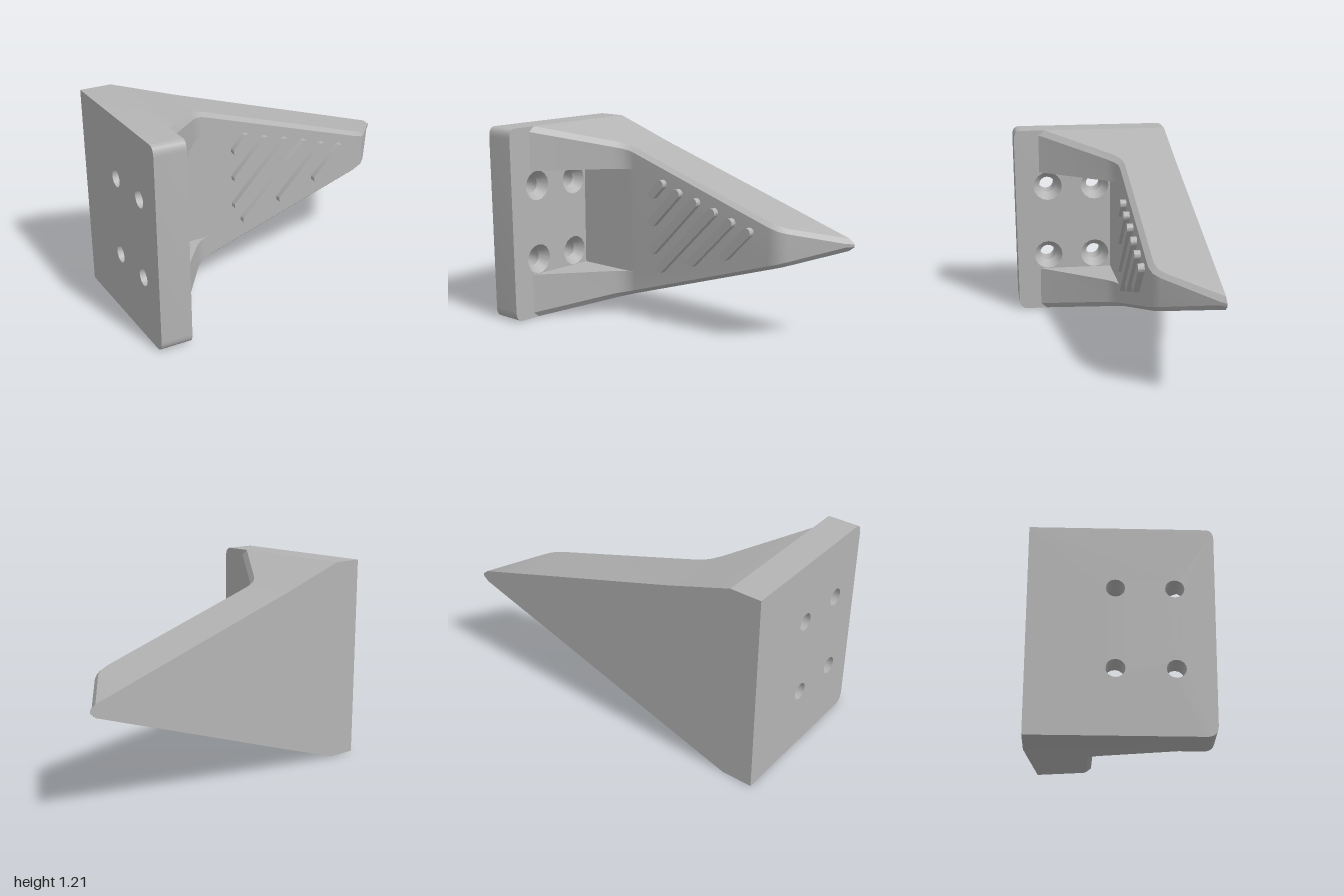
import * as THREE from 'three';
import { toCreasedNormals } from 'three/addons/utils/BufferGeometryUtils.js';

const BACK = -0.49, FACE = -0.135, WALL = -0.815;   // back plane, front face, inner side of the mounting plate
const PLATE_TOP = 1.215;

// Skin closed rings of [x, y, z] points, running counter-clockwise seen from +x
function loft(rings) {
  const pos = rings.flat(2), idx = [], n = rings[0].length;
  for (let r = 0; r < rings.length - 1; r++) {
    for (let i = 0; i < n; i++) {
      const j = (i + 1) % n, a = r * n + i, b = r * n + j;
      idx.push(a, b, b + n, a, b + n, a + n);
    }
  }
  const g = new THREE.BufferGeometry();
  g.setAttribute('position', new THREE.Float32BufferAttribute(pos, 3));
  g.setIndex(idx);
  return toCreasedNormals(g, 0.5);
}

// Flat face across x, from a shape drawn in (y, z)
function faceAcrossX(shape, x, flip) {
  const g = new THREE.ShapeGeometry(shape, 12);
  const p = g.attributes.position;
  for (let i = 0; i < p.count; i++) p.setXYZ(i, x, p.getX(i), p.getY(i));
  if (flip) g.setIndex(Array.from(g.index.array).reverse());
  return toCreasedNormals(g, 0.5);
}

const circle = (x, y, z, r, n = 16) => Array.from({ length: n }, (_, i) => {
  const a = (i / n) * Math.PI * 2;
  return [x, y + r * Math.cos(a), z + r * Math.sin(a)];
});

export function createModel() {
  const group = new THREE.Group();
  const grey = new THREE.MeshStandardMaterial({ color: 0xb4b4b4 });
  grey.name = 'plain grey';
  const add = (name, geometry) => {
    const mesh = new THREE.Mesh(geometry, grey);
    mesh.name = name;
    group.add(mesh);
  };

  // Wedge body: [x, bottom, top, front z, chamfer]
  const stations = [
    [WALL, 0.004, 1.215, 0.335, 0.04],
    [-0.5, 0.103, 1.108, -0.07, 0.038],
    [-0.46, 0.116, 1.094, -0.108, 0.034],
    [-0.42, 0.128, 1.081, -0.129, 0.03],
    [-0.38, 0.141, 1.068, FACE, 0.03],
    [0.65, 0.47, 0.743, FACE, 0.03],
    [0.71, 0.488, 0.724, -0.15, 0.03],
    [0.75, 0.501, 0.711, -0.185, 0.03],
    [0.965, 0.57, 0.643, -0.455, 0.033],
    [1.0, 0.598, 0.614, BACK, 0],
  ];
  add('wedgeBody', loft(stations.map(([x, bottom, top, front, c]) => {
    const low = Math.max(0.283, bottom + c * 0.8), high = Math.min(0.94, top - c * 0.8);
    const floor = Math.min(front, FACE);
    return [
      [bottom, BACK], [top, BACK], [top, front - c], [top - c * 0.8, front],
      [high, front], [high, floor], [low, floor], [low, front],       // recess between the gussets
      [bottom + c * 0.8, front], [bottom, front - c],
    ].map(([y, z]) => [x, y, z]);
  })));

  // Countersunk screw holes through the mounting plate
  const holes = [0.845, 0.377].flatMap(y => [0.28, -0.03].map(z => [y, z]));
  holes.forEach(([y, z]) => add('screwHole', loft([
    circle(WALL, y, z, 0.093), circle(-0.875, y, z, 0.051), circle(-1, y, z, 0.051),
  ])));
  const pierce = (shape, r) => {
    holes.forEach(([y, z]) => shape.holes.push(
      new THREE.Path(circle(0, y, z, r).map(p => new THREE.Vector2(p[1], p[2])))));
    return shape;
  };

  // Mounting plate: rounded front corners, slightly leaning front edge
  const roundedFront = s => {
    s.lineTo(PLATE_TOP, 0.45);
    s.quadraticCurveTo(PLATE_TOP, 0.494, PLATE_TOP - 0.06, 0.494);
    s.lineTo(0.07, 0.48);
    s.quadraticCurveTo(0.004, 0.48, 0.004, 0.42);
    return s;
  };
  const outline = new THREE.Shape();
  outline.moveTo(0.004, BACK);
  outline.lineTo(PLATE_TOP, BACK);
  roundedFront(outline);
  const rim = outline.getPoints(8);
  add('plateEdge', loft([-1, WALL].map(x => rim.map(p => [x, p.x, p.y]))));
  add('plateOuterFace', faceAcrossX(pierce(outline, 0.051), -1, true));

  // Inner plate face, cut around the gussets
  const inner = new THREE.Shape();
  inner.moveTo(0.004, 0.29);
  inner.lineTo(0.036, 0.335);
  inner.lineTo(0.283, 0.335);
  inner.lineTo(0.283, FACE);
  inner.lineTo(0.94, FACE);
  inner.lineTo(0.94, 0.335);
  inner.lineTo(1.183, 0.335);
  inner.lineTo(PLATE_TOP, 0.295);
  roundedFront(inner);
  add('plateInnerFace', faceAcrossX(pierce(inner, 0.093), WALL, false));

  // Slanted grip ribs with rounded ends: [x0, y0, x1, y1]
  const ribs = [
    [-0.205, 0.81, -0.14, 0.877], [-0.205, 0.637, -0.013, 0.835],
    [-0.205, 0.46, 0.125, 0.797], [-0.147, 0.35, 0.26, 0.755],
    [0.104, 0.43, 0.388, 0.712], [0.355, 0.51, 0.52, 0.675],
  ];
  ribs.forEach(([x0, y0, x1, y1]) => {
    const a = Math.atan2(y1 - y0, x1 - x0), r = 0.027;
    const s = new THREE.Shape();
    s.absarc(x1, y1, r, a - Math.PI / 2, a + Math.PI / 2);
    s.absarc(x0, y0, r, a + Math.PI / 2, a + Math.PI * 1.5);
    const g = new THREE.ExtrudeGeometry(s, { depth: 0.037, bevelEnabled: false, curveSegments: 6 });
    g.translate(0, 0, FACE);
    add('gripRib', toCreasedNormals(g, 0.6));
  });

  return group;
}
